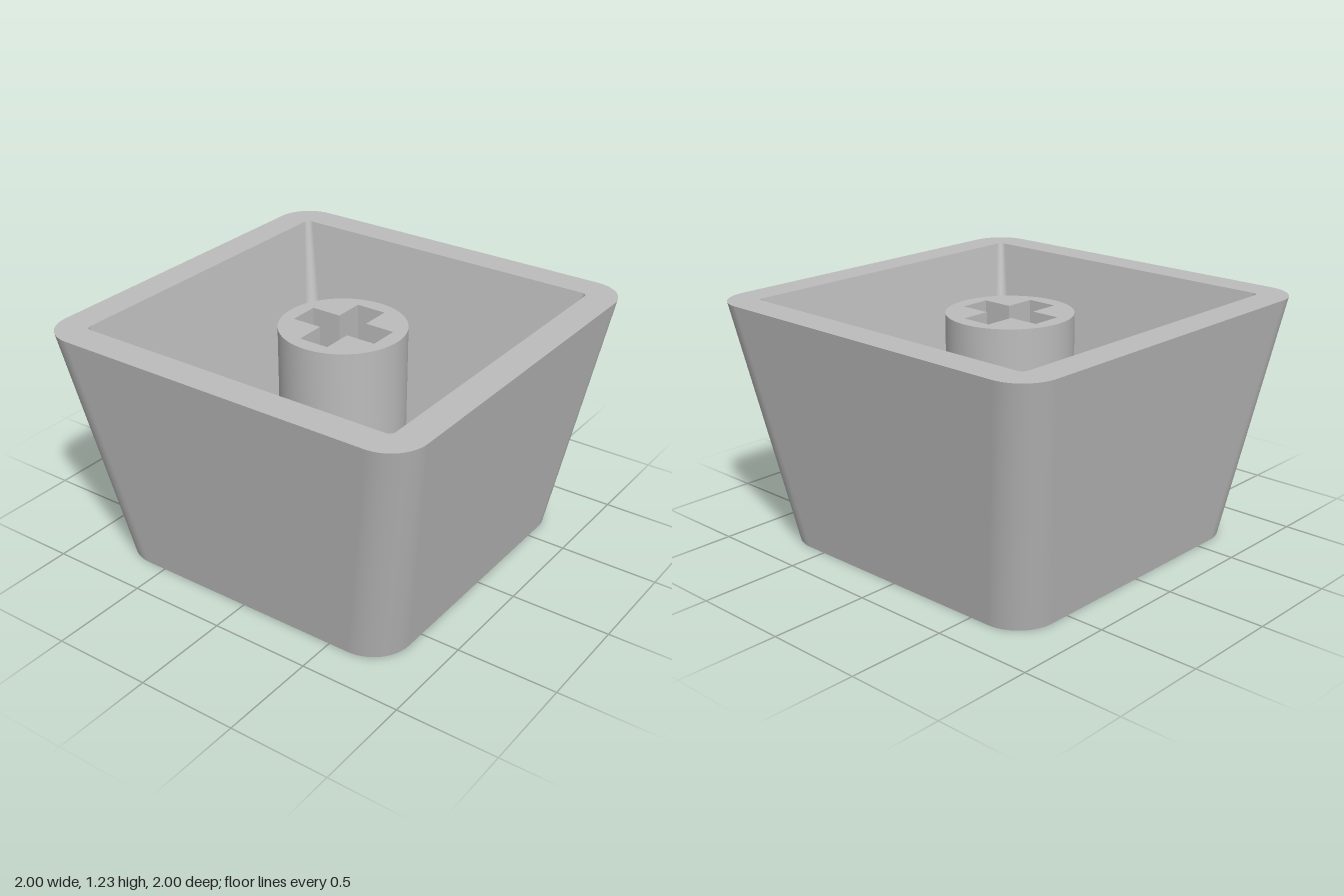
import * as THREE from 'three';
import { toCreasedNormals } from 'three/addons/utils/BufferGeometryUtils.js';

const HEIGHT = 1.225, FLOOR = 0.16, STEM_TOP = 1.15, SOCKET = 0.7, STEM_R = 0.31;

// Rounded square outline, counter-clockwise
function outline(half, r, steps = 12) {
  const pts = [];
  for (let c = 0; c < 4; c++) {
    const mid = Math.PI / 4 + c * Math.PI / 2;
    const cx = Math.sign(Math.cos(mid)) * (half - r), cy = Math.sign(Math.sin(mid)) * (half - r);
    for (let i = 0; i <= steps; i++) {
      const a = (c + i / steps) * Math.PI / 2;
      pts.push(new THREE.Vector2(cx + r * Math.cos(a), cy + r * Math.sin(a)));
    }
  }
  return pts;
}

// Wall between two outlines; swapping the two ends turns it inside out
function loft(p0, y0, p1, y1) {
  const n = p0.length, pos = [], index = [];
  p0.forEach(p => pos.push(p.x, y0, -p.y));
  p1.forEach(p => pos.push(p.x, y1, -p.y));
  for (let i = 0; i < n; i++) {
    const j = (i + 1) % n;
    index.push(i, j, n + j, i, n + j, n + i);
  }
  const geo = new THREE.BufferGeometry();
  geo.setAttribute('position', new THREE.Float32BufferAttribute(pos, 3));
  geo.setIndex(index);
  geo.computeVertexNormals();
  return geo;
}

function ring(outer, inner) {
  const shape = new THREE.Shape(outer);
  shape.holes.push(new THREE.Path(inner));
  return new THREE.ShapeGeometry(shape);
}

// Upright extrusion standing on y
function extrude(shape, y, depth) {
  const geo = new THREE.ExtrudeGeometry(shape, { depth, bevelEnabled: false, curveSegments: 32 });
  geo.rotateX(-Math.PI / 2).translate(0, y, 0);
  return toCreasedNormals(geo, 0.6);
}

export function createModel() {
  const group = new THREE.Group();
  const grey = new THREE.MeshStandardMaterial({ color: 0xbcbcbc });
  grey.name = 'grey plastic';
  const add = (name, geo) => {
    const mesh = new THREE.Mesh(geo, grey);
    mesh.name = name;
    group.add(mesh);
  };

  // Tapered shell
  const outerLow = outline(0.803, 0.2), outerTop = outline(1, 0.18);
  const innerLow = outline(0.65, 0.085), innerTop = outline(0.845, 0.03);
  add('outerWall', loft(outerLow, 0, outerTop, HEIGHT));
  add('innerWall', loft(innerTop, HEIGHT, innerLow, FLOOR));
  add('rim', ring(outerTop, innerTop).rotateX(-Math.PI / 2).translate(0, HEIGHT, 0));
  // Underside of the wall where the floor openings reach beneath it
  add('wallUnderside', ring(outline(0.8, 0.2), innerLow).rotateX(Math.PI / 2).translate(0, FLOOR, 0));

  // Floor with a row of round holes and a row of slots
  const plate = new THREE.Shape(outerLow);
  for (const z of [-0.382, 0, 0.382]) {
    const hole = new THREE.Path();
    hole.absarc(-0.573, z, 0.113, 0, Math.PI * 2, true);
    const slot = new THREE.Path();
    const r = 0.067;
    slot.absarc(0.62, z, r, Math.PI / 2, -Math.PI / 2, true);
    slot.absarc(-0.24, z, r, -Math.PI / 2, -Math.PI * 1.5, true);
    slot.closePath();
    plate.holes.push(hole, slot);
  }
  add('floor', extrude(plate, 0, FLOOR));

  // Stem with a cross-shaped socket
  const lower = new THREE.CylinderGeometry(STEM_R, STEM_R, SOCKET - FLOOR, 64);
  add('stemBase', lower.translate(0, (SOCKET + FLOOR) / 2, 0));
  const stem = new THREE.Shape().absarc(0, 0, STEM_R, 0, Math.PI * 2, false);
  const a = 0.233, b = 0.078;
  const cross = [[a, b], [b, b], [b, a], [-b, a], [-b, b], [-a, b],
    [-a, -b], [-b, -b], [-b, -a], [b, -a], [b, -b], [a, -b]];
  stem.holes.push(new THREE.Path(cross.map(([x, y]) => new THREE.Vector2(x, y))));
  add('stemSocket', extrude(stem, SOCKET, STEM_TOP - SOCKET));

  return group;
}
